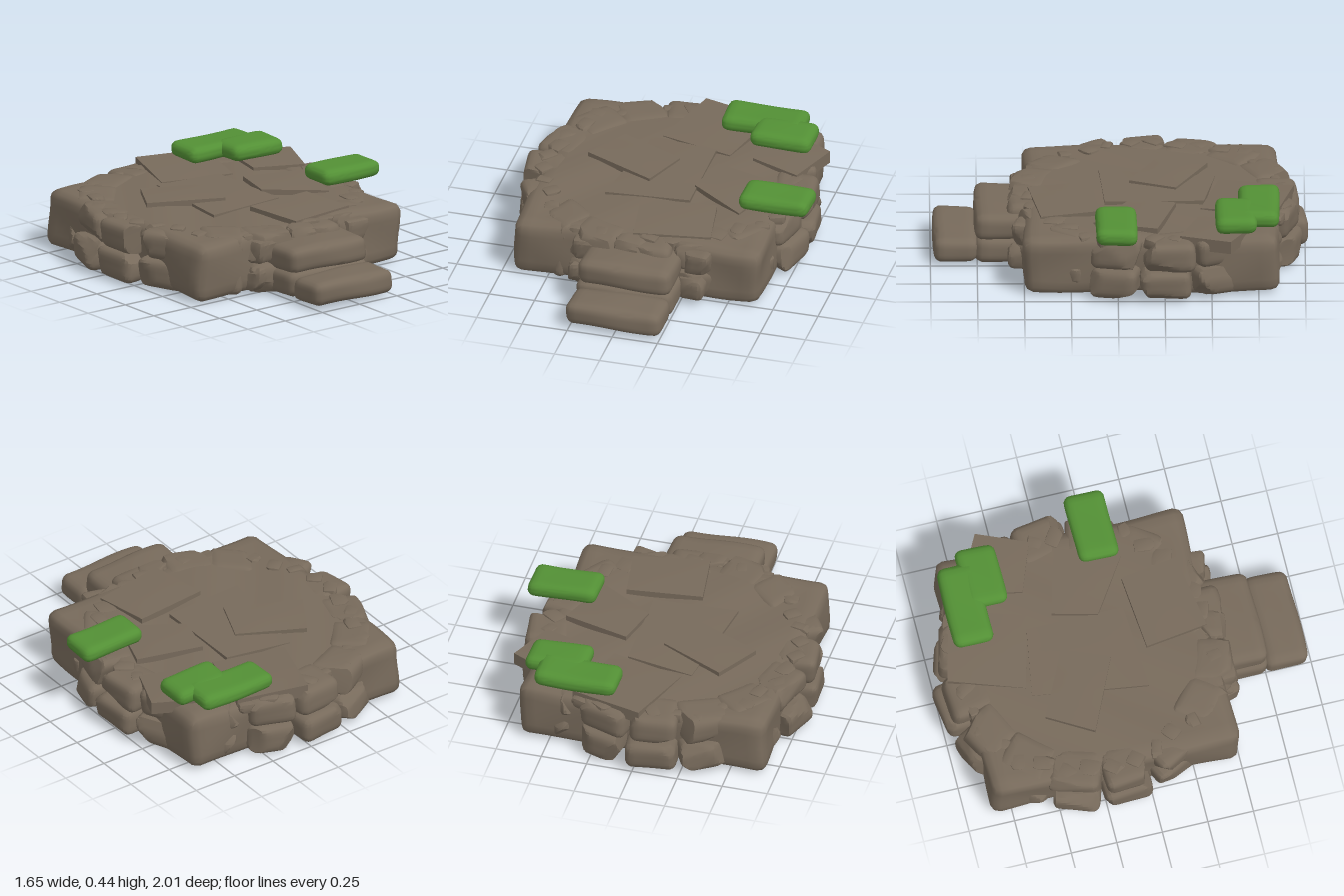
import * as THREE from 'three';
import { mergeVertices, toCreasedNormals } from 'three/addons/utils/BufferGeometryUtils.js';

const stone = new THREE.MeshStandardMaterial({ color: 0x776a5b });
stone.name = 'stone';
const moss = new THREE.MeshStandardMaterial({ color: 0x539035 });
moss.name = 'moss';

// small seeded generator
let seed = 7;
const rnd = (a, b) => {
  seed = (seed * 16807) % 2147483647;
  return a + (b - a) * (seed / 2147483647);
};

// rounded, slightly uneven block; cuts = number of chiselled flat chips
function block(w, h, d, { radius = 0.04, segs = [8, 6, 8], wobble = 0.006, cuts = 0, crease = 0.9 } = {}) {
  let g = new THREE.BoxGeometry(w, h, d, ...segs);
  g.deleteAttribute('normal');
  g.deleteAttribute('uv');
  g = mergeVertices(g);
  const half = new THREE.Vector3(w / 2, h / 2, d / 2);
  const inner = half.clone().subScalar(radius);
  const planes = [];
  for (let i = 0; i < cuts; i++) {
    const n = new THREE.Vector3(rnd(-1, 1), rnd(-0.9, 0.9), rnd(-1, 1)).normalize();
    const reach = Math.abs(n.x) * half.x + Math.abs(n.y) * half.y + Math.abs(n.z) * half.z;
    planes.push([n, reach * rnd(0.62, 0.82)]);
  }
  const phase = rnd(0, 6);
  const p = g.attributes.position;
  const v = new THREE.Vector3();
  for (let i = 0; i < p.count; i++) {
    v.fromBufferAttribute(p, i);
    // pull the outer rows into the rounded edge
    const core = v.clone().clamp(inner.clone().negate(), inner);
    const off = v.clone().sub(core);
    if (off.lengthSq() > 0) v.copy(core).addScaledVector(off.normalize(), radius);
    for (const [n, dist] of planes) {
      const over = v.dot(n) - dist;
      if (over > 0) v.addScaledVector(n, -over);
    }
    const { x, y, z } = v;
    v.x += wobble * Math.sin(17 * y + 9 * z + phase);
    v.y += wobble * Math.sin(11 * x + 8 * z + phase);
    v.z += wobble * Math.sin(10 * x + 15 * y + phase);
    p.setXYZ(i, v.x, v.y, v.z);
  }
  return toCreasedNormals(g, crease);
}

function add(parent, name, geometry, material, x, y, z, ry = 0) {
  const m = new THREE.Mesh(geometry, material);
  m.name = name;
  m.position.set(x, y, z);
  m.rotation.y = ry;
  parent.add(m);
  return m;
}

// paving slab over four [x, z, topY] corners: back left, back right, front right, front left
function slab(corners, thickness = 0.07) {
  let g = new THREE.BoxGeometry(1, 1, 1, 6, 1, 6);
  g.deleteAttribute('normal');
  g.deleteAttribute('uv');
  g = mergeVertices(g);
  const p = g.attributes.position;
  for (let i = 0; i < p.count; i++) {
    const u = p.getX(i) + 0.5, v = p.getZ(i) + 0.5, low = p.getY(i) < 0;
    const weights = [(1 - u) * (1 - v), u * (1 - v), u * v, (1 - u) * v];
    const mix = (k) => weights.reduce((sum, wt, c) => sum + wt * corners[c][k], 0);
    const crown = 0.004 * Math.sin(Math.PI * u) * Math.sin(Math.PI * v);
    p.setXYZ(i, mix(0), mix(2) + (low ? -thickness : crown), mix(1));
  }
  return toCreasedNormals(g, 0.6);
}

export function createModel() {
  seed = 7;
  const root = new THREE.Group();
  root.name = 'stonePlatform';

  // main square block
  add(root, 'platformBody',
    block(1.36, 0.315, 1.36, { radius: 0.05, segs: [28, 8, 28], wobble: 0.006 }),
    stone, -0.012, 0.177, -0.175);

  // two courses of rough stones in a circle, showing through the four sides
  const ring = new THREE.Group();
  ring.name = 'edgeStones';
  root.add(ring);
  const count = 16;
  for (let course = 0; course < 2; course++) {
    for (let i = 0; i < count; i++) {
      const a = (i / count) * Math.PI * 2 - 0.1 + rnd(-0.02, 0.02);
      const r = (course ? 0.665 : 0.695) + rnd(-0.015, 0.015);
      const reach = Math.max(Math.abs(Math.cos(a)), Math.abs(Math.sin(a)));
      if (reach < 0.75) continue; // hidden inside the body's corners
      const g = block(0.235, rnd(0.15, 0.165), rnd(0.25, 0.28),
        { radius: 0.045, segs: [9, 7, 9], cuts: 6, wobble: 0.005, crease: 0.5 });
      add(ring, course ? 'upperEdgeStone' : 'lowerEdgeStone', g, stone,
        -0.01 + Math.cos(a) * r, course ? 0.26 : 0.107, -0.19 + Math.sin(a) * r, -a);
    }
  }

  // small chips lying along the rim
  for (let i = 0; i < 34; i++) {
    const a = (i / 34) * Math.PI * 2;
    const r = rnd(0.66, 0.72);
    const g = block(rnd(0.06, 0.12), 0.06, rnd(0.07, 0.13),
      { radius: 0.015, segs: [4, 3, 4], cuts: 5, wobble: 0.003, crease: 0.4 });
    add(ring, 'rimChip', g, stone,
      -0.01 + Math.cos(a) * r, rnd(0.305, 0.32), -0.19 + Math.sin(a) * r, rnd(0, 3));
  }

  // rubble beside the steps
  for (const [x, y, z] of [[-0.3, 0.1, 0.5], [-0.27, 0.25, 0.5], [0.3, 0.1, 0.51], [0.33, 0.25, 0.49], [-0.02, 0.28, 0.52]]) {
    const g = block(0.17, 0.13, 0.14, { radius: 0.03, segs: [6, 5, 6], cuts: 6, crease: 0.5 });
    add(ring, 'stepRubble', g, stone, x, y, z, rnd(-0.4, 0.4));
  }

  // tilted paving slabs on top
  const slabs = [
    [[-0.02, -0.94, 0.365], [0.37, -0.84, 0.362], [0.25, -0.44, 0.345], [-0.15, -0.54, 0.345]],
    [[-0.2, -0.52, 0.345], [0.17, -0.46, 0.355], [0.17, 0.07, 0.35], [-0.29, 0.1, 0.345]],
    [[-0.34, -0.48, 0.362], [0.01, -0.31, 0.365], [-0.09, -0.06, 0.366], [-0.48, -0.24, 0.364]],
    [[0.22, -0.31, 0.366], [0.58, -0.21, 0.364], [0.46, 0.13, 0.35], [0.16, -0.07, 0.362]],
    [[-0.08, 0.14, 0.365], [0.33, 0.1, 0.362], [0.38, 0.41, 0.35], [-0.03, 0.48, 0.355]],
    [[0.45, -0.76, 0.362], [0.76, -0.6, 0.36], [0.65, -0.33, 0.35], [0.38, -0.43, 0.355]],
  ];
  for (const corners of slabs) add(root, 'pavingSlab', slab(corners), stone, 0, 0, 0);

  // two front steps
  const stepShape = { radius: 0.045, segs: [16, 8, 8], wobble: 0.005 };
  add(root, 'lowerStep', block(0.525, 0.13, 0.235, stepShape), stone, -0.01, 0.096, 0.868);
  add(root, 'upperStep', block(0.51, 0.14, 0.3, stepShape), stone, -0.01, 0.225, 0.615);
  add(root, 'upperStepBase', block(0.53, 0.14, 0.3, stepShape), stone, -0.01, 0.1, 0.615);

  // moss cushions: centre x, z, width, depth
  for (const [x, z, w, d] of [[0.365, -0.75, 0.45, 0.22], [0.498, -0.63, 0.335, 0.22], [0.64, 0.01, 0.38, 0.22]]) {
    add(root, 'mossPatch',
      block(w, 0.088, d, { radius: 0.04, segs: [14, 8, 10], wobble: 0.003, crease: 1.5 }),
      moss, x, 0.403, z);
  }
  return root;
}
